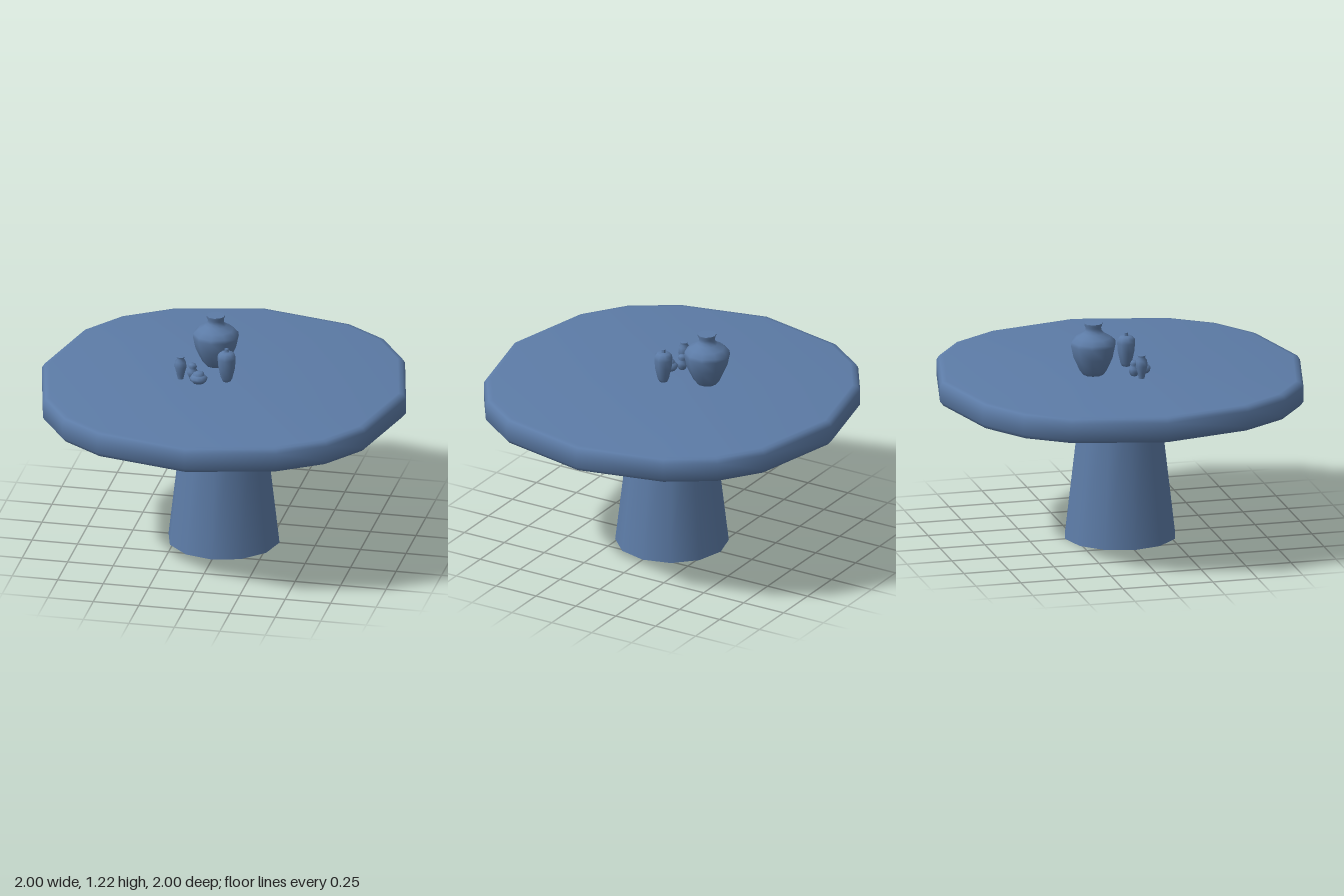
import * as THREE from 'three';
import { toCreasedNormals } from 'three/addons/utils/BufferGeometryUtils.js';

const blue = new THREE.MeshStandardMaterial({ color: 0x5c7ba6 });

// Turned shape from [radius, height] pairs, listed bottom to top
function turned(name, profile, sides, crease) {
  const points = profile.map(([r, y]) => new THREE.Vector2(r, y));
  const geometry = new THREE.LatheGeometry(points, sides);
  const mesh = new THREE.Mesh(crease ? toCreasedNormals(geometry, crease) : geometry, blue);
  mesh.name = name;
  return mesh;
}

// Sixteen-sided tabletop with uneven corners and a softened rim
function tabletop() {
  const profile = [[0, 0.79], [0.95, 0.79], [0.98, 0.795], [1, 0.82], [1, 0.905], [0.985, 0.928], [0.96, 0.932], [0, 0.936]];
  const geometry = new THREE.LatheGeometry(profile.map(([r, y]) => new THREE.Vector2(r, y)), 16);
  const quarter = [[0, 1], [0.48, 0.89], [0.725, 0.73], [0.885, 0.505]];
  const pos = geometry.attributes.position;
  for (let i = 0; i <= 16; i++) {
    const corner = new THREE.Vector2(...quarter[i % 4]);
    // each quarter turn maps (x, z) to (z, -x)
    for (let q = 0; q < Math.floor(i / 4) % 4; q++) corner.set(corner.y, -corner.x);
    profile.forEach(([r, y], j) => pos.setXYZ(i * profile.length + j, corner.x * r, y, corner.y * r));
  }
  const mesh = new THREE.Mesh(toCreasedNormals(geometry, 1.1), blue);
  mesh.name = 'tabletop';
  return mesh;
}

export function createModel() {
  const group = new THREE.Group();
  group.name = 'tableWithPots';
  group.add(tabletop());

  // Tapered pedestal
  const pedestal = new THREE.Mesh(new THREE.CylinderGeometry(0.212, 0.305, 0.795, 12), blue);
  pedestal.name = 'pedestal';
  pedestal.position.y = 0.3975;
  group.add(pedestal);

  // Pots: name, x, z, sides, profile measured from the tabletop
  const pots = [
    ['largeVase', -0.082, -0.17, 10, [[0, 0], [0.055, 0], [0.075, 0.025], [0.11, 0.1], [0.124, 0.165], [0.121, 0.185],
      [0.095, 0.208], [0.058, 0.23], [0.045, 0.245], [0.043, 0.262], [0.05, 0.278], [0.05, 0.286], [0, 0.286]]],
    ['tallVase', 0.023, 0.04, 8, [[0, 0], [0.022, 0], [0.032, 0.02], [0.046, 0.08], [0.05, 0.13], [0.048, 0.15],
      [0.035, 0.165], [0.012, 0.17], [0.011, 0.187], [0, 0.19]]],
    ['slimVase', -0.226, 0.06, 8, [[0, 0], [0.016, 0], [0.022, 0.03], [0.033, 0.07], [0.03, 0.1], [0.019, 0.115],
      [0.022, 0.128], [0, 0.13]]],
    ['smallJar', -0.165, 0.035, 8, [[0, 0], [0.018, 0], [0.028, 0.02], [0.029, 0.04], [0.018, 0.054], [0.024, 0.068],
      [0.018, 0.08], [0, 0.082]]],
    ['squatPot', -0.12, 0.09, 10, [[0, 0], [0.032, 0], [0.046, 0.014], [0.048, 0.028], [0.038, 0.04], [0.03, 0.043],
      [0.03, 0.053], [0.018, 0.06], [0, 0.061]]],
  ];
  for (const [name, x, z, sides, profile] of pots) {
    const pot = turned(name, profile, sides, 1.2);
    pot.position.set(x, 0.935, z);
    group.add(pot);
  }
  return group;
}
